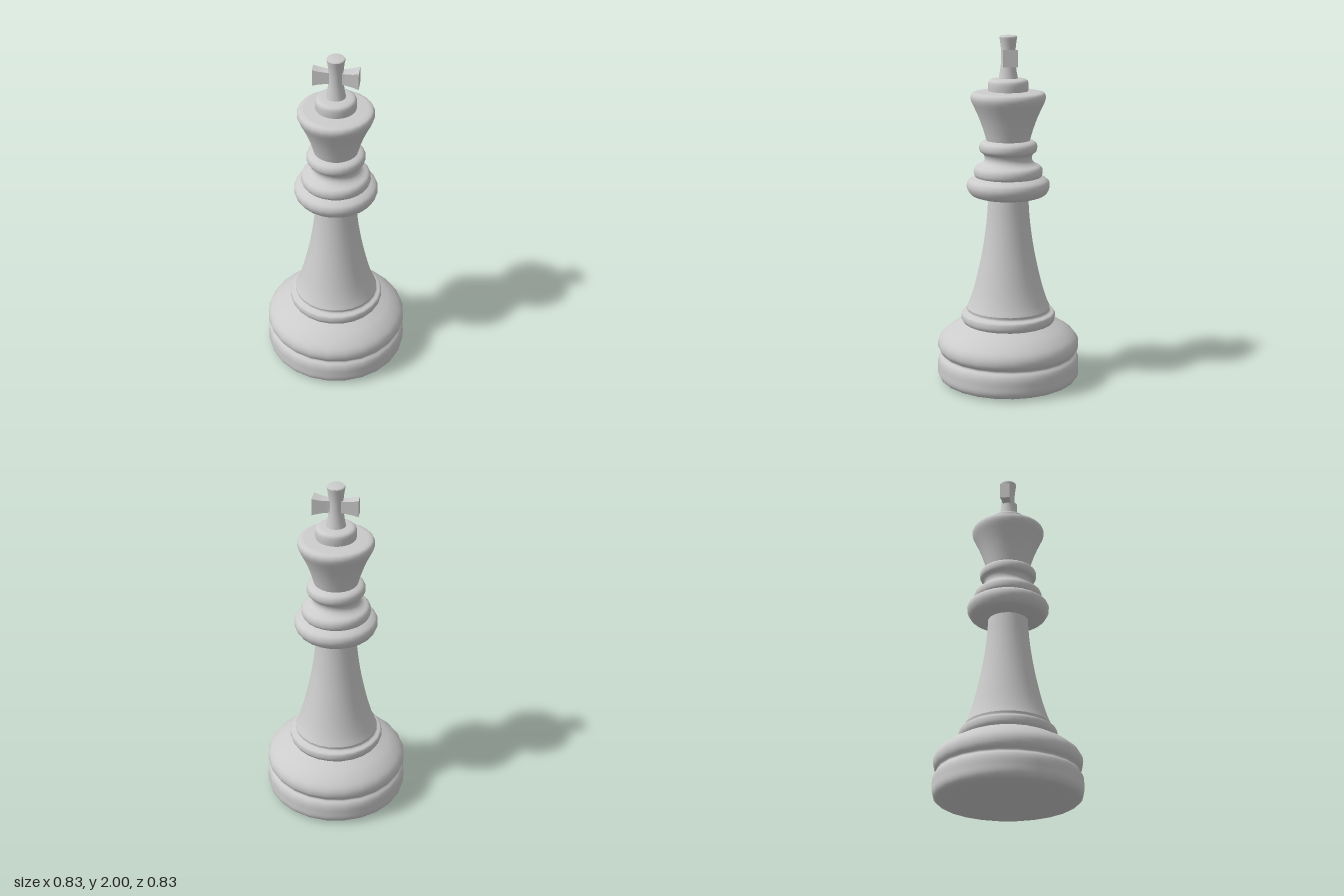
import * as THREE from 'three';

const SIDES = 24;
const material = new THREE.MeshStandardMaterial({ color: 0xcccccc });

// Turned section: [radius, height] points from bottom to top, rounded by a spline
function turned(name, points, smooth = true) {
  let profile = points.map(([r, y]) => new THREE.Vector2(r, y));
  if (smooth) {
    const curve = new THREE.CatmullRomCurve3(points.map(([r, y]) => new THREE.Vector3(r, y, 0)));
    profile = curve.getPoints((points.length - 1) * 3).map((p) => new THREE.Vector2(Math.max(p.x, 0), p.y));
  }
  const mesh = new THREE.Mesh(new THREE.LatheGeometry(profile, SIDES), material);
  mesh.name = name;
  return mesh;
}

// Cross arm: a box that flares from the shaft (x = 0) to its outer end
function crossArm(name, side, endDepth) {
  const length = 0.125;
  const geometry = new THREE.BoxGeometry(length, 1, 1, 4, 1, 1);
  const pos = geometry.attributes.position;
  for (let i = 0; i < pos.count; i++) {
    const t = pos.getX(i) / length + 0.5;
    const flare = Math.max(0, (t - 0.25) / 0.75);
    const halfHeight = 0.034 + 0.014 * flare * flare;
    const halfDepth = 0.023 + (endDepth - 0.023) * flare;
    pos.setXYZ(i, t * length, 2 * halfHeight * pos.getY(i), 2 * halfDepth * pos.getZ(i));
  }
  geometry.computeVertexNormals();
  const arm = new THREE.Mesh(geometry, material);
  arm.name = name;
  arm.position.set(0, 1.883, -0.003);
  if (side < 0) arm.rotation.y = Math.PI;
  return arm;
}

export function createModel() {
  const model = new THREE.Group();
  model.name = 'chessKing';

  model.add(
    // Foot and plinth
    turned('underside', [[0, 0], [0.36, 0.002]], false),
    turned('base', [
      [0.36, 0.002], [0.395, 0.014], [0.411, 0.04], [0.413, 0.08], [0.412, 0.12], [0.403, 0.146],
      [0.387, 0.165], [0.402, 0.185], [0.41, 0.205], [0.409, 0.235], [0.392, 0.267],
      [0.34, 0.311], [0.295, 0.336], [0.262, 0.352],
    ]),
    turned('baseRing', [
      [0.262, 0.352], [0.271, 0.368], [0.273, 0.388], [0.268, 0.406], [0.247, 0.414], [0.24, 0.422], [0.242, 0.437],
    ]),
    // Flared stem
    turned('stem', [
      [0.242, 0.437], [0.225, 0.475], [0.2, 0.55], [0.168, 0.68], [0.141, 0.82], [0.122, 0.97], [0.114, 1.095],
    ]),
    // Collar rings
    turned('collarUnderside', [[0.1, 1.083], [0.178, 1.09]], false),
    turned('collar', [
      [0.178, 1.09], [0.212, 1.103], [0.231, 1.13], [0.237, 1.155], [0.23, 1.18], [0.211, 1.195], [0.188, 1.206],
    ]),
    turned('collarStep', [
      [0.188, 1.206], [0.195, 1.22], [0.195, 1.245], [0.184, 1.264], [0.158, 1.277], [0.14, 1.293],
      [0.134, 1.312], [0.141, 1.335], [0.159, 1.35], [0.165, 1.37], [0.161, 1.392], [0.148, 1.405], [0.124, 1.414],
    ]),
    // Crown
    turned('crown', [
      [0.124, 1.414], [0.14, 1.47], [0.165, 1.54], [0.19, 1.596], [0.208, 1.635], [0.212, 1.66], [0.203, 1.68], [0.18, 1.687],
    ]),
    turned('crownTop', [[0.18, 1.687], [0.105, 1.692]], false),
    turned('crownCap', [[0.112, 1.69], [0.114, 1.72], [0.111, 1.745], [0.098, 1.757], [0.053, 1.763]]),
    // Finial cross
    turned('crossShaft', [[0.055, 1.758], [0.047, 1.8], [0.041, 1.85], [0.04, 1.91], [0.044, 1.955], [0.05, 1.992]]),
    turned('crossShaftTop', [[0.05, 1.992], [0.045, 2], [0, 2]], false),
    crossArm('leftCrossArm', 1, 0.041),
    crossArm('rightCrossArm', -1, 0.028),
  );
  return model;
}
